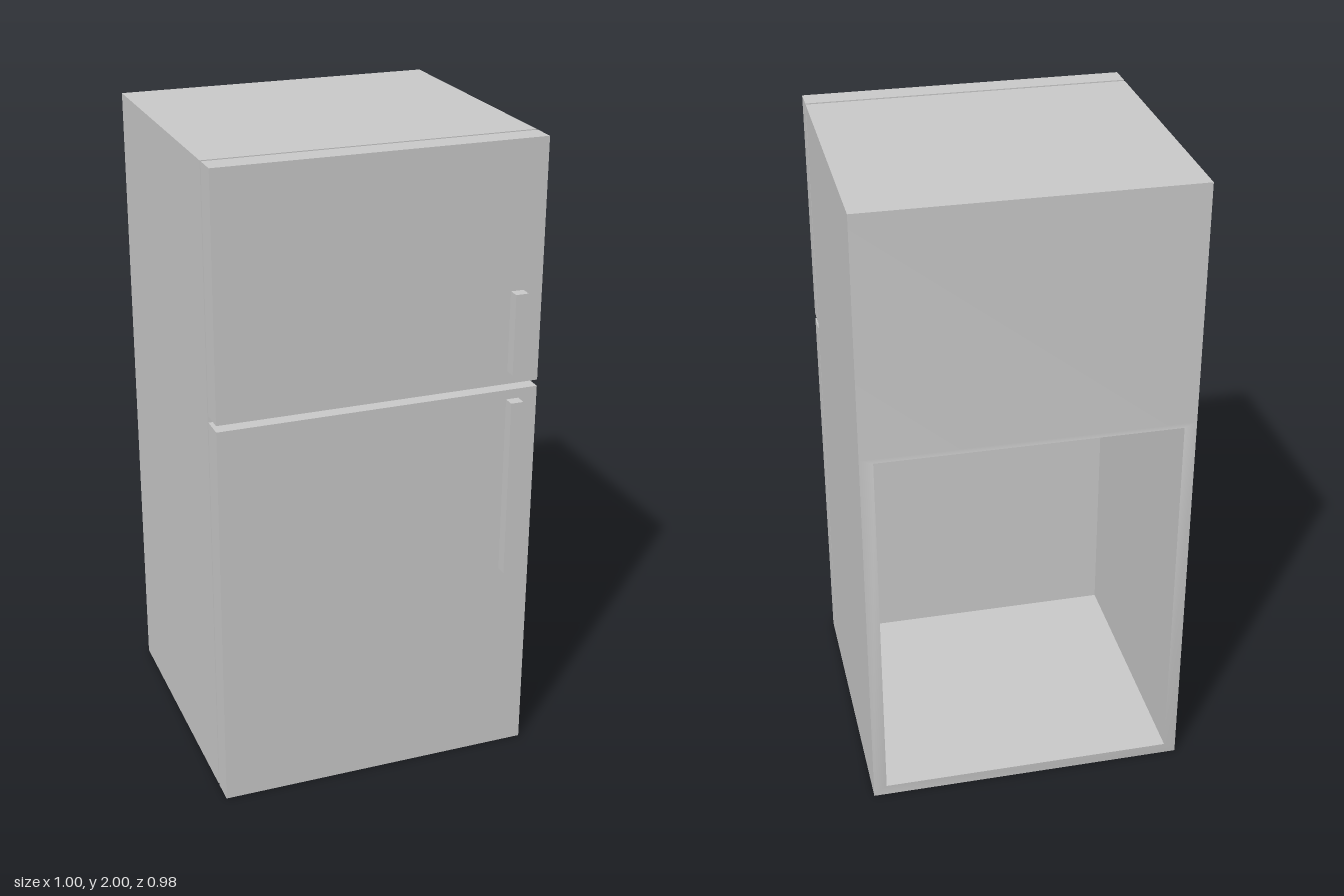
import * as THREE from 'three';

const material = new THREE.MeshStandardMaterial({ color: 0xcccccc });

function addMesh(parent, name, geometry) {
  const mesh = new THREE.Mesh(geometry, material);
  mesh.name = name;
  parent.add(mesh);
  return mesh;
}

// Box given by its lower and upper corners
function boxBetween([x0, y0, z0], [x1, y1, z1]) {
  return new THREE.BoxGeometry(x1 - x0, y1 - y0, z1 - z0)
    .translate((x0 + x1) / 2, (y0 + y1) / 2, (z0 + z1) / 2);
}

// Box without its -z face; inward turns the walls to face the inside
function openBackBox(min, max, inward = false) {
  const geometry = boxBetween(min, max);
  const index = Array.from(geometry.index.array).slice(0, 30);
  geometry.setIndex(inward ? index.reverse() : index);
  if (inward) geometry.computeVertexNormals();
  return geometry;
}

// Rear panel: flat upper part and a slightly raised rim around the opening
function rearPanel(w, h, split, z, hole) {
  const outer = [[-w, 0, z], [w, 0, z], [w, split, z], [-w, split, z]];
  const inner = [
    [-hole.w, hole.y0, hole.z], [hole.w, hole.y0, hole.z],
    [hole.w, hole.y1, hole.z], [-hole.w, hole.y1, hole.z],
  ];
  const points = [...outer, ...inner, [w, h, z], [-w, h, z]];
  const index = [3, 9, 8, 3, 8, 2];
  for (let i = 0; i < 4; i++) {
    const j = (i + 1) % 4;
    index.push(i, i + 4, j + 4, i, j + 4, j);
  }
  const geometry = new THREE.BufferGeometry();
  geometry.setAttribute('position', new THREE.Float32BufferAttribute(points.flat(), 3));
  geometry.setIndex(index);
  geometry.computeVertexNormals();
  return geometry;
}

export function createModel() {
  const model = new THREE.Group();
  model.name = 'refrigerator';

  // Cabinet, hollow in its lower part and open at the back
  const cabinet = new THREE.Group();
  cabinet.name = 'cabinet';
  model.add(cabinet);
  const hole = { w: 0.46, y0: 0.04, y1: 1.24, z: -0.49 };
  addMesh(cabinet, 'cabinetShell', openBackBox([-0.5, 0, -0.483], [0.5, 2, 0.37]));
  addMesh(cabinet, 'rearPanel', rearPanel(0.5, 2, 1.25, -0.483, hole));
  addMesh(cabinet, 'rearCompartment',
    openBackBox([-hole.w, hole.y0, hole.z], [hole.w, hole.y1, 0.36], true));

  // Doors, each with a bar handle
  const doors = [
    { name: 'freezerDoor', y: [1.26, 2], handle: [1.3, 1.55] },
    { name: 'fridgeDoor', y: [0, 1.24], handle: [0.64, 1.21] },
  ];
  for (const { name, y, handle } of doors) {
    const door = new THREE.Group();
    door.name = name;
    model.add(door);
    addMesh(door, name + 'Panel', boxBetween([-0.5, y[0], 0.38], [0.5, y[1], 0.455]));
    addMesh(door, name + 'Handle', boxBetween([0.4, handle[0], 0.455], [0.44, handle[1], 0.49]));
  }
  return model;
}
